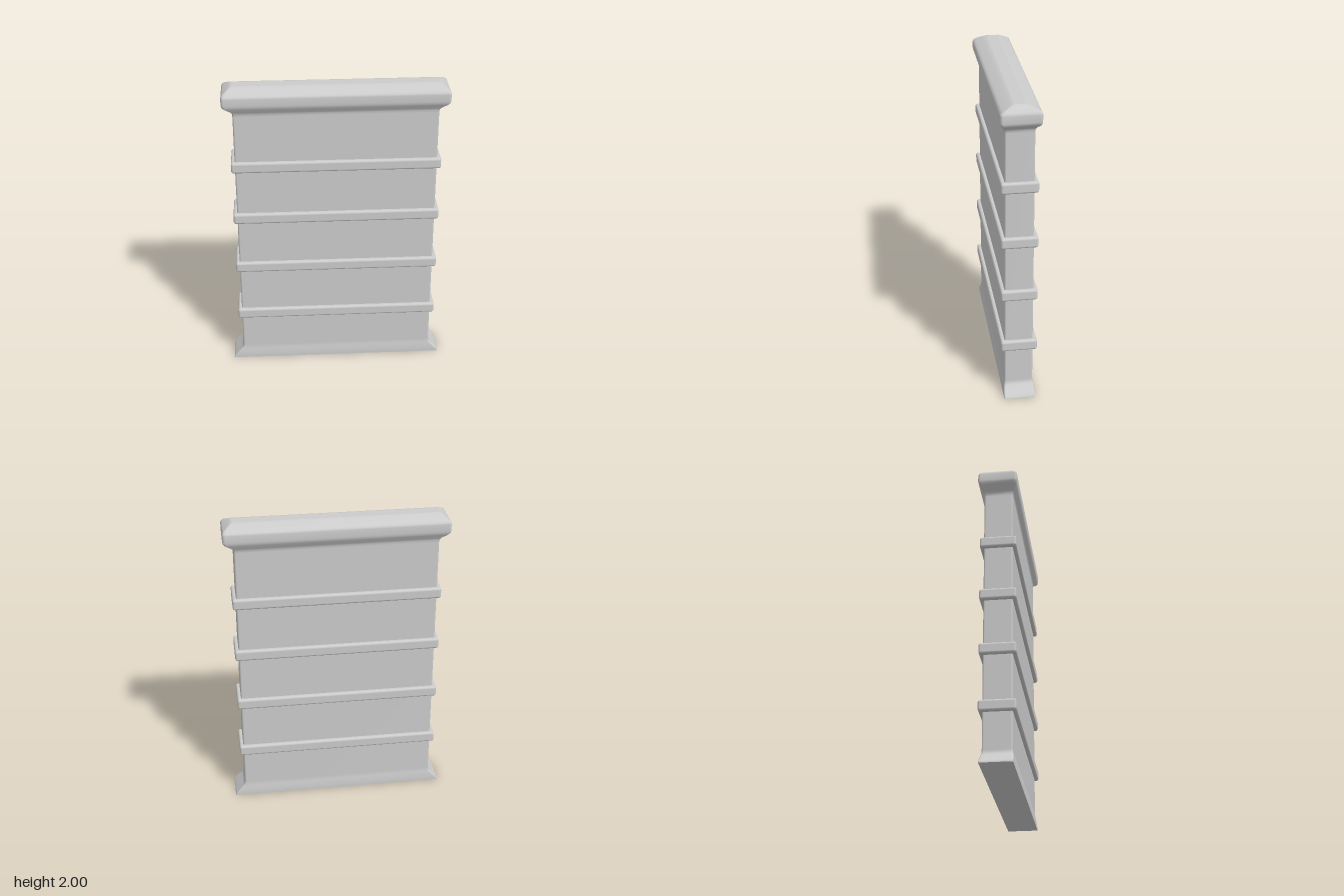
import * as THREE from 'three';
import { RoundedBoxGeometry } from 'three/addons/geometries/RoundedBoxGeometry.js';

// Closed loft through rounded rectangles; each section is [y, halfWidth, halfDepth, cornerRadius]
function loftRectangles(sections, steps = 4) {
  const positions = [], index = [];
  const ringSize = 4 * (steps + 1);
  const addRing = ([y, hx, hz, r]) => {
    const start = positions.length / 3;
    for (let corner = 0; corner < 4; corner++) {
      const sx = corner === 0 || corner === 3 ? 1 : -1;
      const sz = corner < 2 ? 1 : -1;
      for (let i = 0; i <= steps; i++) {
        const a = (corner + i / steps) * Math.PI / 2;
        positions.push(sx * (hx - r) + r * Math.cos(a), y, sz * (hz - r) + r * Math.sin(a));
      }
    }
    return start;
  };
  const addLid = (section, up) => {
    const start = addRing(section);
    const centre = positions.length / 3;
    positions.push(0, section[0], 0);
    for (let j = 0; j < ringSize; j++) {
      const a = start + j, b = start + (j + 1) % ringSize;
      index.push(centre, up ? b : a, up ? a : b);
    }
  };
  const rings = sections.map(addRing);
  for (let k = 0; k < rings.length - 1; k++) {
    for (let j = 0; j < ringSize; j++) {
      const n = (j + 1) % ringSize;
      const a = rings[k] + j, b = rings[k + 1] + j, c = rings[k] + n, d = rings[k + 1] + n;
      index.push(a, b, c, c, b, d);
    }
  }
  addLid(sections[0], false);
  addLid(sections[sections.length - 1], true);
  const geometry = new THREE.BufferGeometry();
  geometry.setAttribute('position', new THREE.Float32BufferAttribute(positions, 3));
  geometry.setIndex(index);
  geometry.computeVertexNormals();
  return geometry;
}

export function createModel() {
  const model = new THREE.Group();
  const material = new THREE.MeshStandardMaterial({ color: 0xcccccc });
  const add = (name, geometry, y = 0) => {
    const mesh = new THREE.Mesh(geometry, material);
    mesh.name = name;
    mesh.position.y = y;
    model.add(mesh);
  };

  // Slab with a foot flared mostly sideways and a bevelled cap
  add('panel', loftRectangles([
    [0, 0.708, 0.1, 0.008],
    [0.008, 0.707, 0.1, 0.008],
    [0.02, 0.697, 0.1, 0.008],
    [0.045, 0.675, 0.098, 0.01],
    [0.07, 0.652, 0.094, 0.012],
    [0.082, 0.645, 0.092, 0.012],
    [0.1, 0.641, 0.091, 0.012],
    [1.82, 0.641, 0.091, 0.012],
    [1.838, 0.643, 0.093, 0.012],
    [1.85, 0.652, 0.099, 0.014],
    [1.878, 0.693, 0.117, 0.016],
    [1.89, 0.704, 0.122, 0.018],
    [1.905, 0.708, 0.125, 0.018],
    [1.948, 0.708, 0.125, 0.018],
    [1.96, 0.704, 0.121, 0.018],
    [1.97, 0.696, 0.107, 0.016],
    [1.99, 0.666, 0.066, 0.012],
    [1.997, 0.655, 0.05, 0.012],
    [2, 0.642, 0.036, 0.01],
  ]));

  // Evenly spaced bands wrapping the slab
  for (let i = 0; i < 4; i++) {
    add(`band${i + 1}`, new RoundedBoxGeometry(1.33, 0.072, 0.23, 3, 0.015), 0.371 + i * 0.3675);
  }
  return model;
}
